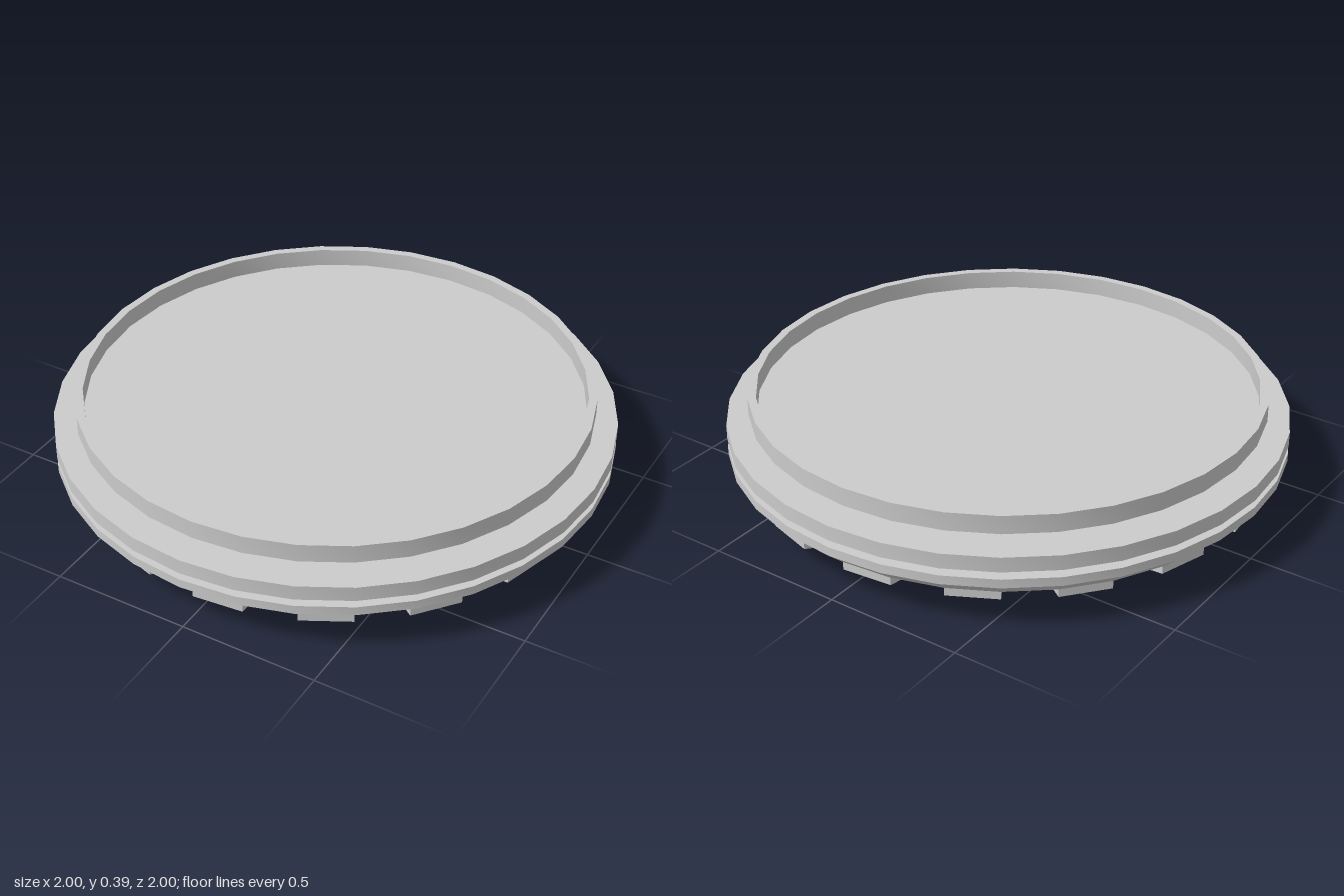
import * as THREE from 'three';
import { toCreasedNormals } from 'three/addons/utils/BufferGeometryUtils.js';
import { ConvexGeometry } from 'three/addons/geometries/ConvexGeometry.js';

const SIDES = 32;
const STEP = (Math.PI * 2) / SIDES;

export function createModel() {
  const model = new THREE.Group();
  const material = new THREE.MeshStandardMaterial({ color: 0xcccccc });

  // Turned part from [radius, height] points, round faces smooth, rims sharp
  const turned = (name, profile) => {
    const points = profile.map(([r, y]) => new THREE.Vector2(r, y));
    const geometry = toCreasedNormals(new THREE.LatheGeometry(points, SIDES), 0.45);
    const mesh = new THREE.Mesh(geometry, material);
    mesh.name = name;
    model.add(mesh);
  };

  // Base: foot, tapered flange, groove and upper rim
  turned('base', [
    [0, 0], [0.71, 0], [0.71, 0.112], [0.935, 0.112], [1, 0.17], [1, 0.203],
    [0.94, 0.203], [0.94, 0.23], [1, 0.23], [1, 0.285], [0, 0.285],
  ]);

  // Thin ring hovering above the base
  turned('topRing', [
    [0.89, 0.32], [0.92, 0.32], [0.92, 0.387], [0.89, 0.387], [0.89, 0.32],
  ]);

  // Wedge teeth under the flange, filling every other side of the foot
  const section = [[0.69, 0.008], [0.71, 0.008], [0.935, 0.083], [0.935, 0.112], [0.69, 0.112]];
  const corners = [0, STEP].flatMap((a) =>
    section.map(([r, y]) => new THREE.Vector3(r * Math.sin(a), y, r * Math.cos(a))));
  const toothGeometry = new ConvexGeometry(corners);
  const teeth = new THREE.Group();
  teeth.name = 'teeth';
  for (let i = 0; i < SIDES / 2; i++) {
    const tooth = new THREE.Mesh(toothGeometry, material);
    tooth.name = 'tooth';
    tooth.rotation.y = i * 2 * STEP;
    teeth.add(tooth);
  }
  model.add(teeth);

  return model;
}
